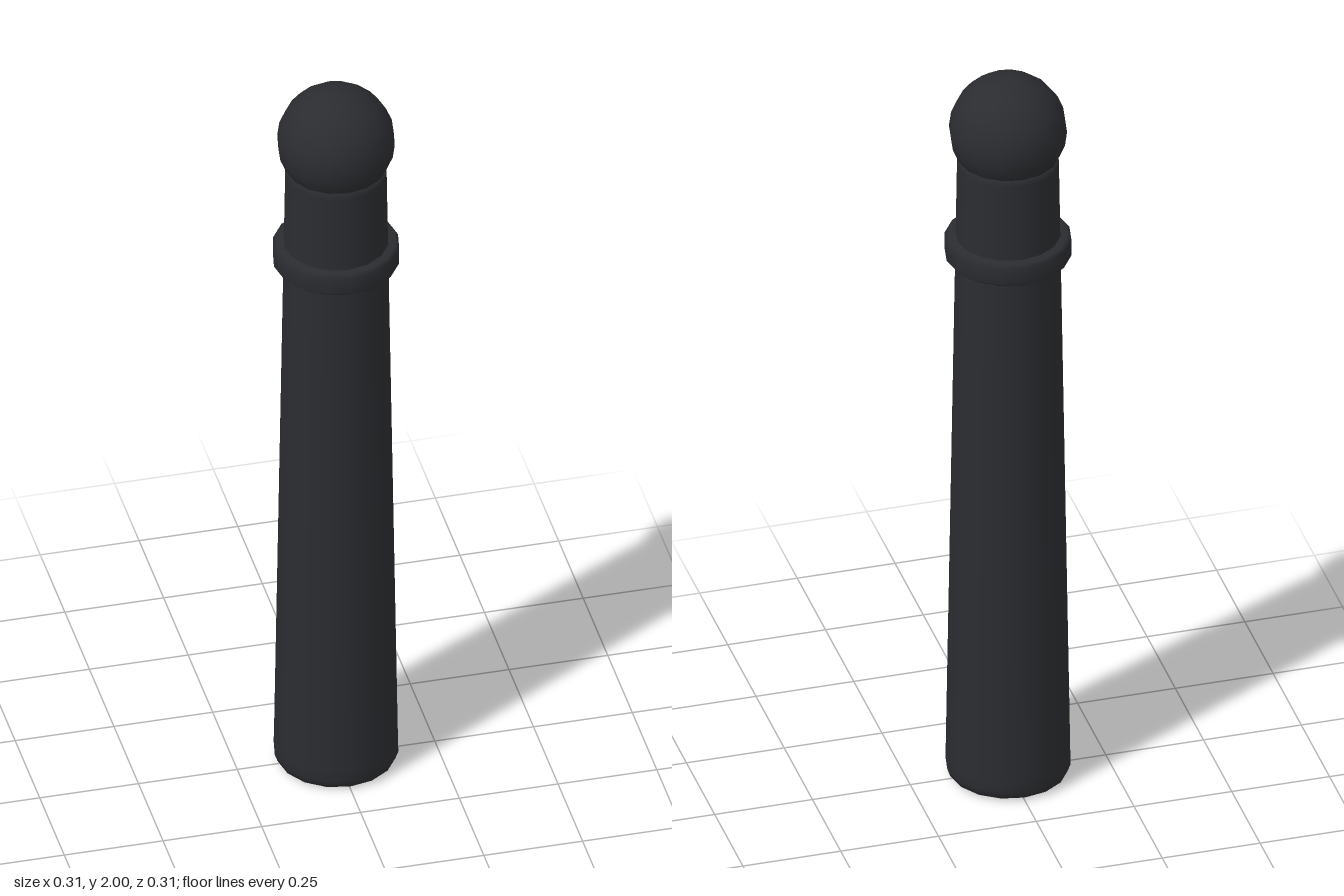
import * as THREE from 'three';

const SIDES = 16;

export function createModel() {
  const group = new THREE.Group();
  const material = new THREE.MeshStandardMaterial({ color: 0x2b2c30 });

  const add = (name, geometry, y = 0) => {
    const mesh = new THREE.Mesh(geometry, material);
    mesh.name = name;
    mesh.position.y = y;
    group.add(mesh);
  };
  // Revolve [radius, height] pairs, listed from bottom to top
  const turned = (profile) =>
    new THREE.LatheGeometry(profile.map(([r, y]) => new THREE.Vector2(r, y)), SIDES);

  // Tapered post with a rounded foot, closed under the cap
  add('post', turned([
    [0, 0], [0.135, 0], [0.148, 0.008], [0.155, 0.028],
    [0.154, 0.06], [0.126, 1.76], [0.125, 1.785], [0, 1.785],
  ]));

  // Ring around the neck, with bevelled edges
  add('collar', turned([
    [0.12, 1.49], [0.148, 1.49], [0.157, 1.499],
    [0.157, 1.543], [0.148, 1.552], [0.12, 1.552],
  ]));

  // Ball on top
  add('ballCap', new THREE.SphereGeometry(0.146, SIDES, 12), 1.854);

  return group;
}
